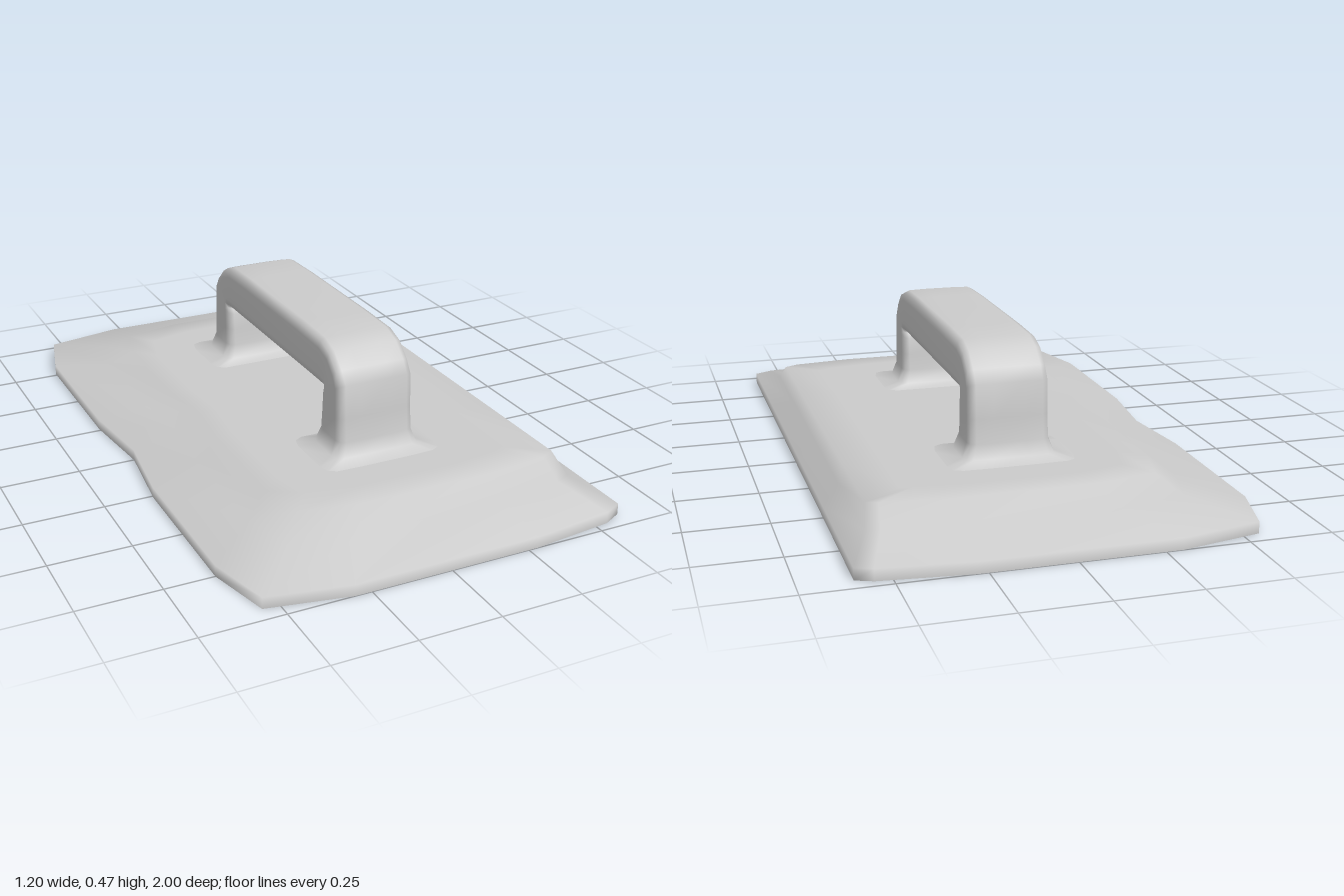
import * as THREE from 'three';

const material = new THREE.MeshStandardMaterial({ color: 0xcccccc });

// Skin a list of closed rings (arrays of [x, y, z]) with smooth normals
function loft(name, rings) {
  const n = rings[0].length;
  const index = [];
  for (let i = 0; i < rings.length - 1; i++) {
    for (let j = 0; j < n; j++) {
      const k = (j + 1) % n;
      const a = i * n + j, b = i * n + k, c = a + n, d = b + n;
      index.push(a, b, d, a, d, c);
    }
  }
  const geometry = new THREE.BufferGeometry();
  geometry.setAttribute('position', new THREE.Float32BufferAttribute(rings.flat(2), 3));
  geometry.setIndex(index);
  geometry.computeVertexNormals();
  const mesh = new THREE.Mesh(geometry, material);
  mesh.name = name;
  return mesh;
}

// Plate outline [x, z], with a slight waist on the -x side
const outline = [
  [0.6, 0.94], [0.6, 0.5], [0.6, 0], [0.6, -0.5], [0.6, -0.95], [0.55, -0.97],
  [0.28, -1], [-0.3, -1], [-0.55, -0.95], [-0.6, -0.76], [-0.6, -0.26],
  [-0.57, 0], [-0.6, 0.26], [-0.6, 0.75], [-0.55, 0.95], [-0.3, 1],
  [0.28, 1], [0.54, 0.97],
];

// Scaled copy of the outline at height y
const plateRing = (y, sx, sz, cx) => outline.map(([x, z]) => [cx + x * sx, y, z * sz]);

// Rounded cross-section of the handle: across (-1..1), depth (0 inner..1 outer)
const section = [
  [0.82, 0.99], [0.95, 0.94], [1, 0.78], [1, 0.22], [0.95, 0.06], [0.82, 0],
  [-0.82, 0], [-0.95, 0.06], [-1, 0.22], [-1, 0.78], [-0.95, 0.94], [-0.82, 0.99],
  [-0.4, 1], [0.4, 1],
];

// Half of the handle: [outer z, outer y, inner z, inner y, half width]
const stations = [
  [0.56, 0.118, 0.29, 0.118, 0.205],
  [0.505, 0.131, 0.335, 0.131, 0.142],
  [0.492, 0.175, 0.347, 0.175, 0.126],
  [0.486, 0.25, 0.352, 0.23, 0.125],
  [0.482, 0.355, 0.357, 0.285, 0.125],
  [0.455, 0.395, 0.365, 0.303, 0.125],
  [0.405, 0.44, 0.37, 0.312, 0.125],
  [0.345, 0.461, 0.335, 0.312, 0.125],
  [0.2, 0.465, 0.2, 0.312, 0.125],
];

export function createModel() {
  const group = new THREE.Group();
  group.name = 'handFloat';

  // Plate: thin rim, shallow slope, steeper step, flat top
  group.add(loft('plate', [
    plateRing(0, 1, 1, 0),
    plateRing(0.035, 1, 1, 0),
    plateRing(0.065, 0.8125, 0.82, 0.0475),
    plateRing(0.119, 0.742, 0.75, 0.075),
    plateRing(0.12, 0.58, 0.66, 0.05),
    plateRing(0.12, 0, 0, 0.05),
  ]));

  // Flat underside
  group.add(loft('sole', [plateRing(0, 0, 0, 0), plateRing(0, 1, 1, 0)]));

  // Handle: bridge with flared feet, mirrored front to back
  const back = stations.map(([oz, oy, iz, iy, w]) => [-oz, oy, -iz, iy, w]).reverse();
  group.add(loft('handle', [...stations, ...back].map(([oz, oy, iz, iy, w]) =>
    section.map(([u, v]) => [
      0.035 + u * w,
      THREE.MathUtils.lerp(iy, oy, v),
      THREE.MathUtils.lerp(iz, oz, v),
    ]))));

  return group;
}
